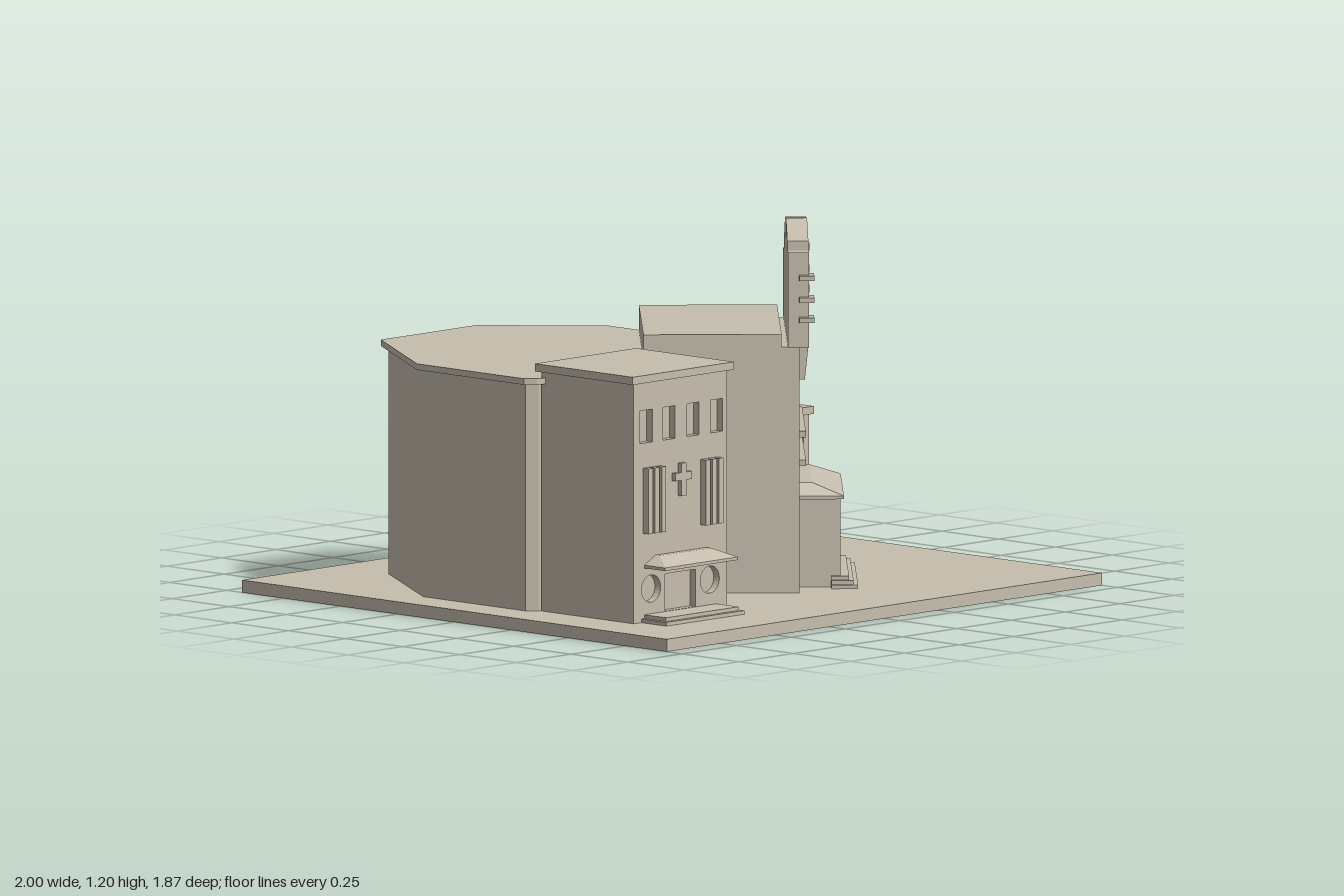
import * as THREE from 'three';

const stone = new THREE.MeshStandardMaterial({ color: 0xc6bdad });
stone.name = 'stone';

function add(parent, name, geometry) {
  const mesh = new THREE.Mesh(geometry, stone);
  mesh.name = name;
  parent.add(mesh);
  return mesh;
}

// Box given by its limits on each axis
function box(parent, name, x0, x1, y0, y1, z0, z1) {
  const mesh = add(parent, name, new THREE.BoxGeometry(x1 - x0, y1 - y0, z1 - z0));
  mesh.position.set((x0 + x1) / 2, (y0 + y1) / 2, (z0 + z1) / 2);
  return mesh;
}

const shapeOf = (pts) => new THREE.Shape(pts.map(([x, y]) => new THREE.Vector2(x, y)));
const rect = (x0, x1, y0, y1) => [[x0, y0], [x1, y0], [x1, y1], [x0, y1]];
const circle = (x, y, r) => Array.from({ length: 24 }, (_, i) => {
  const a = (i / 24) * Math.PI * 2;
  return [x + r * Math.cos(a), y + r * Math.sin(a)];
});

// Upright plate with openings, from z0 to z1
function plate(parent, name, outline, holes, z0, z1) {
  const shape = shapeOf(outline);
  holes.forEach((h) => shape.holes.push(new THREE.Path(shapeOf(h).getPoints())));
  const mesh = add(parent, name, new THREE.ExtrudeGeometry(shape, { depth: z1 - z0, bevelEnabled: false }));
  mesh.position.z = z0;
  return mesh;
}

// Floor plan [x, z] raised from y0 to y1
function prism(parent, name, plan, y0, y1) {
  const geo = new THREE.ExtrudeGeometry(shapeOf(plan.map(([x, z]) => [x, -z])), { depth: y1 - y0, bevelEnabled: false });
  geo.rotateX(-Math.PI / 2);
  add(parent, name, geo).position.y = y0;
}

// Hipped canopy against a wall: thin eave slab plus sloped roof
function canopy(parent, name, x0, x1, z0, z1, y0, y1, inset, topZ) {
  const lip = y0 + 0.01;
  box(parent, name + 'Eave', x0, x1, y0, lip, z0, z1);
  const geo = new THREE.BoxGeometry(1, 1, 1).toNonIndexed();
  const p = geo.attributes.position;
  for (let i = 0; i < p.count; i++) {
    const top = p.getY(i) > 0;
    const d = top ? inset : 0;
    p.setXYZ(i, p.getX(i) > 0 ? x1 - d : x0 + d, top ? y1 : lip, p.getZ(i) > 0 ? (top ? topZ : z1) : z0);
  }
  geo.computeVertexNormals();
  add(parent, name + 'Roof', geo);
}

function steps(parent, x0, x1, z0, z1, rise, count) {
  for (let i = 0; i < count; i++) {
    const d = i * 0.014;
    box(parent, 'step', x0 + d, x1 - d, 0.04 + i * rise, 0.04 + (i + 1) * rise, z0, z1 - d);
  }
}

function buildHall() {
  const hall = new THREE.Group();
  hall.name = 'hall';
  const roof = [[-0.59, -0.715], [-0.15, -0.715], [0.13, -0.4], [0.13, -0.2], [-0.165, 0.345],
    [-0.185, 0.365], [-0.4, 0.365], [-0.6, 0.3], [-0.86, 0.23], [-0.89, 0.2], [-0.89, -0.27]];
  const cx = -0.38, cz = -0.175;
  const walls = roof.map(([x, z]) => [cx + (x - cx) * 0.95, cz + (z - cz) * 0.957]);
  prism(hall, 'hallWalls', walls, 0.04, 0.77);
  prism(hall, 'hallRoof', roof, 0.77, 0.79);
  return hall;
}

function buildChapel() {
  const g = new THREE.Group();
  g.name = 'chapel';
  box(g, 'chapelBody', -0.83, -0.4, 0.04, 0.81, 0.22, 0.6);
  box(g, 'chapelRoof', -0.85, -0.385, 0.81, 0.835, 0.21, 0.64);
  const mid = -0.615;
  const holes = [-0.772, -0.667, -0.558, -0.45].map((x) => rect(x - 0.028, x + 0.028, 0.615, 0.72));
  holes.push(rect(-0.685, -0.545, 0.065, 0.185), circle(mid - 0.135, 0.145, 0.044), circle(mid + 0.135, 0.145, 0.044));
  plate(g, 'chapelFacade', rect(-0.83, -0.4, 0.04, 0.81), holes, 0.6, 0.625);
  // Tall windows with projecting bars
  for (const side of [-1, 1]) {
    const x = mid + side * 0.132;
    box(g, 'tallWindow', x - 0.04, x + 0.04, 0.325, 0.535, 0.62, 0.634);
    for (const d of [-0.03, 0, 0.03]) box(g, 'windowBar', x + d - 0.01, x + d + 0.01, 0.325, 0.535, 0.62, 0.65);
  }
  // Cross
  box(g, 'crossPost', mid - 0.012, mid + 0.012, 0.43, 0.535, 0.62, 0.64);
  box(g, 'crossArm', mid - 0.038, mid + 0.038, 0.48, 0.505, 0.62, 0.64);
  canopy(g, 'chapelCanopy', -0.78, -0.445, 0.62, 0.715, 0.213, 0.25, 0.05, 0.645);
  steps(g, -0.795, -0.435, 0.62, 0.735, 0.012, 2);
  return g;
}

// Angled tower, built facing +z and then turned
function buildTower() {
  const g = new THREE.Group();
  g.name = 'tower';
  g.rotation.y = Math.PI / 4;
  const L = -0.368, R = 0.283, F = 0.396;
  box(g, 'towerBody', L, R, 0.04, 0.87, -0.099, 0.34);
  plate(g, 'towerFacade', rect(L, R, 0.04, 0.83), [rect(-0.3, 0.212, 0.36, 0.645)], 0.34, F);
  // Window fins and ledges
  for (let i = 1; i < 8; i++) {
    const x = -0.3 + i * 0.064;
    box(g, 'windowFin', x - 0.008, x + 0.008, 0.36, 0.645, 0.34, F);
  }
  for (const y of [0.45, 0.542]) box(g, 'windowLedge', -0.32, 0.232, y - 0.01, y + 0.01, 0.35, 0.418);
  // Brackets under the parapet, tapering downward
  for (let i = 0; i < 7; i++) {
    const x = -0.325 + i * 0.094;
    const b = plate(g, 'bracket', [[0, 0.83], [0, 0.72], [0.018, 0.72], [0.03, 0.83]], [], -0.014, 0.014);
    b.rotation.y = -Math.PI / 2;
    b.position.set(x + 0.014, 0, F);
  }
  // Stepped parapet with round recess
  const crest = [[-0.389, 0.83], [0.3, 0.83], [0.3, 1.05], [0.2, 1.06], [0.2, 1.092], [0.05, 1.187], [0.035, 1.187],
    [0.035, 1.135], [-0.07, 1.135], [-0.07, 1.2], [-0.085, 1.2], [-0.27, 1.155], [-0.27, 1.125], [-0.389, 1.135]];
  plate(g, 'parapetBack', crest, [], 0.36, 0.385);
  plate(g, 'parapetFront', crest, [circle(-0.015, 1.08, 0.04)], 0.385, 0.427);
  for (const y of [0.92, 0.985, 1.055]) {
    box(g, 'parapetFin', -0.412, -0.345, y - 0.008, y + 0.008, 0.395, 0.443);
    box(g, 'parapetFin', 0.255, 0.325, y - 0.008, y + 0.008, 0.395, 0.443);
  }
  // Entrance porch
  box(g, 'porchBody', -0.24, 0.163, 0.04, 0.33, F, 0.5);
  plate(g, 'porchFront', rect(-0.24, 0.163, 0.04, 0.33), [rect(-0.2, 0.108, 0.075, 0.26)], 0.5, 0.53);
  canopy(g, 'porchCanopy', -0.285, 0.21, F, 0.54, 0.328, 0.375, 0.05, 0.44);
  steps(g, -0.28, 0.225, 0.5, 0.585, 0.012, 3);
  return g;
}

function buildWing() {
  const g = new THREE.Group();
  g.name = 'wing';
  box(g, 'wingBody', 0.03, 0.823, 0.04, 0.48, -0.48, -0.295);
  box(g, 'galleryRoof', 0.1, 0.835, 0.455, 0.48, -0.345, -0.175);
  box(g, 'galleryFloor', 0.1, 0.835, 0.23, 0.252, -0.33, -0.175);
  for (const x of [0.36, 0.51, 0.66, 0.81]) box(g, 'galleryPost', x - 0.013, x + 0.013, 0.04, 0.456, -0.21, -0.185);
  // Framed upper windows
  for (const x of [0.36, 0.525, 0.705]) {
    plate(g, 'windowFrame', rect(x - 0.055, x + 0.055, 0.305, 0.418), [rect(x - 0.043, x + 0.043, 0.317, 0.406)], -0.3, -0.275);
  }
  return g;
}

export function createModel() {
  const model = new THREE.Group();
  model.name = 'buildingComplex';
  box(model, 'base', -1, 1, 0, 0.04, -0.933, 0.933);
  model.add(buildHall(), buildChapel(), buildTower(), buildWing());
  return model;
}
